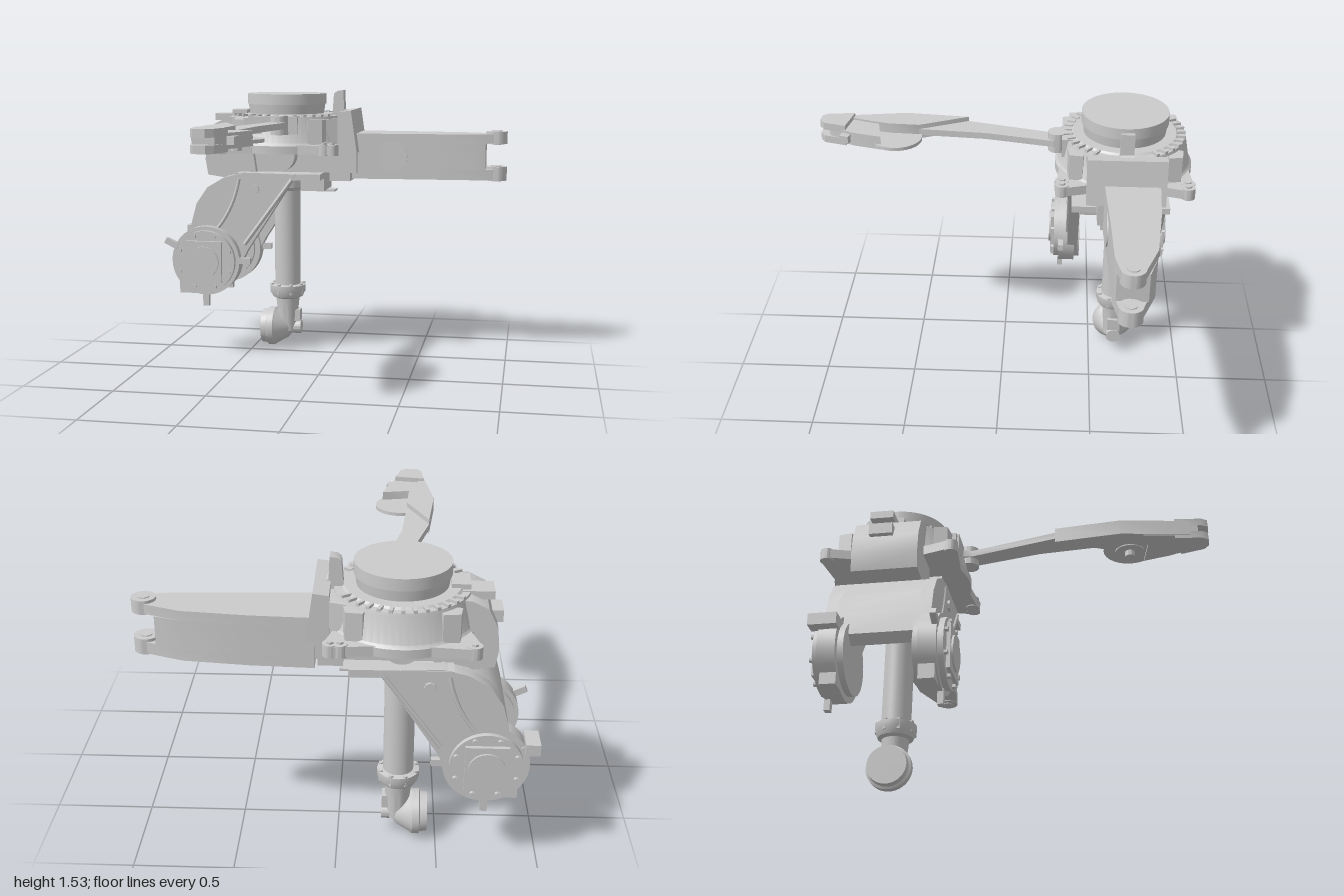
import * as THREE from 'three';
import { toCreasedNormals } from 'three/addons/utils/BufferGeometryUtils.js';

const mat = new THREE.MeshStandardMaterial({ color: 0xcccccc, side: THREE.DoubleSide });
const CX = -0.305, CZ = -0.64; // turret axis

export function createModel() {
  const root = new THREE.Group();
  const add = (name, geo, x = 0, y = 0, z = 0) => {
    const m = new THREE.Mesh(toCreasedNormals(geo, 0.6), mat);
    m.name = name;
    m.position.set(x, y, z);
    root.add(m);
    return m;
  };
  // Box from its two extreme corners
  const box = (name, x0, x1, y0, y1, z0, z1) =>
    add(name, new THREE.BoxGeometry(x1 - x0, y1 - y0, z1 - z0), (x0 + x1) / 2, (y0 + y1) / 2, (z0 + z1) / 2);
  // Cylinders along each axis
  const cylY = (name, x, z, y0, y1, rBottom, rTop = rBottom, n = 40) =>
    add(name, new THREE.CylinderGeometry(rTop, rBottom, y1 - y0, n), x, (y0 + y1) / 2, z);
  const cylZ = (name, x, y, z0, z1, r, n = 40) =>
    add(name, new THREE.CylinderGeometry(r, r, z1 - z0, n).rotateX(Math.PI / 2), x, y, (z0 + z1) / 2);
  const v2 = (pts) => pts.map(([a, b]) => new THREE.Vector2(a, b));
  // Front outline (x, y) extruded in z, and plan outline (x, z) extruded in y
  const extrude = (shape, d) => new THREE.ExtrudeGeometry(shape, { depth: d, bevelEnabled: false, curveSegments: 20 });
  const slabZ = (name, pts, z0, z1) => add(name, extrude(new THREE.Shape(v2(pts)), z1 - z0), 0, 0, z0);
  const slabY = (name, pts, y0, y1) =>
    add(name, extrude(new THREE.Shape(v2(pts.map(([x, z]) => [x, -z]))), y1 - y0).rotateX(-Math.PI / 2), 0, y0, 0);

  // Turret: top disc, neck and flared housing
  cylY('topDisc', CX, CZ, 1.46, 1.52, 0.23, 0.23, 64);
  cylY('discNeck', CX, CZ, 1.39, 1.46, 0.215, 0.225, 64);
  const housing = [[0, 1.19], [0.365, 1.19], [0.365, 1.235], [0.35, 1.25], [0.325, 1.38], [0.32, 1.395], [0.285, 1.395], [0.275, 1.405], [0, 1.405]];
  add('housing', new THREE.LatheGeometry(v2(housing), 64), CX, 0, CZ);
  for (let i = 0; i < 36; i++) {
    const a = (i / 36) * Math.PI * 2;
    if (Math.abs(Math.sin(a)) < 0.45) continue;
    const slot = add('ringTooth', new THREE.BoxGeometry(0.045, 0.016, 0.018), CX + 0.3 * Math.cos(a), 1.4, CZ + 0.3 * Math.sin(a));
    slot.rotation.y = -a;
  }

  // Four mounting ears with bolts
  for (const sx of [-1, 1]) for (const sz of [-1, 1]) {
    const ex = CX + sx * 0.325, ez = CZ + sz * 0.325;
    slabY('mountingEar', [[CX + sx * 0.12, CZ + sz * 0.34], [ex, ez + sz * 0.035], [ex + sx * 0.035, ez], [CX + sx * 0.3, CZ + sz * 0.12], [CX, CZ]], 1.19, 1.24);
    cylY('earPad', ex, ez, 1.185, 1.245, 0.036);
    cylY('earBolt', ex, ez, 1.24, 1.255, 0.018, 0.018, 6);
    if (sx > 0) {
      cylY('earPad', ex - 0.045, ez + sz * 0.002, 1.185, 1.245, 0.036);
      cylY('earBolt', ex - 0.045, ez, 1.24, 1.255, 0.018, 0.018, 6);
    }
    slabY('earGusset', [[CX + sx * 0.18, CZ + sz * 0.3], [CX + sx * 0.26, CZ + sz * 0.29], [CX + sx * 0.27, CZ + sz * 0.22], [CX + sx * 0.15, CZ + sz * 0.2]], 1.2, 1.38);
  }

  // Beam socket, upright horn and underbody
  slabY('socketBody', [[-0.2, -0.9], [0.05, -0.82], [0.11, -0.84], [0.11, -0.45], [0.05, -0.47], [-0.2, -0.38]], 1.19, 1.38);
  slabZ('socketCollar', [[0.03, 1.19], [0.03, 1.42], [0.105, 1.43], [0.14, 1.19]], CZ - 0.205, CZ + 0.2);
  slabZ('horn', [[-0.03, 1.38], [-0.02, 1.52], [0, 1.535], [0.035, 1.54], [0.04, 1.43], [0.07, 1.41], [0.07, 1.38]], CZ - 0.035, CZ + 0.035);
  box('underbody', -0.56, 0.13, 1.07, 1.2, -0.79, -0.5);
  box('basePlate', -0.55, -0.06, 1.035, 1.07, -0.89, -0.37);
  box('socketFoot', -0.03, 0.09, 1.02, 1.07, -0.76, -0.52);
  cylZ('pivotBoss', CX, 1.17, -0.85, -0.41, 0.09);
  box('lowerBracket', -0.2, -0.06, 0.96, 1.04, -0.76, -0.51);
  box('bracketLip', -0.12, -0.01, 0.95, 0.962, -0.68, -0.58);

  // Tapered beam with a forked end
  const beam = (end) => [[0.1, -0.815], [0.4, -0.8], [0.73, -0.765], [end, end > 0.9 ? -0.695 : -0.725], [end, end > 0.9 ? -0.585 : -0.57], [0.8, -0.56], [0.5, -0.55], [0.1, -0.53]];
  slabY('beam', beam(0.86), 1.095, 1.245);
  for (const [y0, y1] of [[1.035, 1.095], [1.245, 1.295]]) {
    slabY('beamFlange', beam(0.92), y0, y1);
    cylY('forkLug', 0.92, CZ, y0 - 0.005, y1 + 0.015, 0.06);
    cylY('forkPin', 0.92, CZ, y0 - 0.01, y1 + 0.02, 0.03);
  }
  const port = new THREE.Shape();
  port.absarc(0.33, 1.165, 0.087, -Math.PI / 2, Math.PI / 2);
  port.absarc(0.32, 1.165, 0.087, Math.PI / 2, Math.PI * 1.5);
  add('beamPort', extrude(port, 0.008), 0, 0, -0.546);

  // Shoulder casing and latch on the right flank
  slabZ('shoulderCasing', [[-0.5, 1.39], [-0.62, 1.385], [-0.7, 1.345], [-0.745, 1.25], [-0.755, 1.14], [-0.74, 1.05], [-0.6, 1.03], [-0.45, 1.05]], -0.8, -0.46);
  box('latchBlock', -0.775, -0.7, 1.24, 1.3, -0.71, -0.59);
  box('latchPlate', -0.73, -0.58, 1.36, 1.4, -0.72, -0.6);
  box('latchArm', -0.62, -0.53, 1.37, 1.425, -0.7, -0.57);

  // Saddle: two cheek plates joined by a curved cover
  const back = [[-0.5, 1.075], [-0.62, 1.045], [-0.72, 0.985], [-0.785, 0.89], [-0.815, 0.78], [-0.83, 0.65]];
  const cheek = [...back, [-0.86, 0.5], [-0.72, 0.4], [-0.56, 0.48], [-0.48, 0.63], [-0.22, 1.03], [-0.2, 1.07]];
  slabZ('cheekFront', cheek, -0.42, -0.36);
  slabZ('cheekBack', cheek, -0.885, -0.815);
  const inner = back.map(([x, y]) => [x + 0.05, y - 0.04]).reverse();
  slabZ('saddleCover', [...back, ...inner], -0.83, -0.4);
  cylZ('crossTube', -0.42, 0.92, -0.83, -0.4, 0.05);
  for (const z of [-0.36, -0.885]) {
    const rib = new THREE.LineCurve3(new THREE.Vector3(-0.22, 1.04, z), new THREE.Vector3(-0.5, 0.66, z));
    add('cheekRib', new THREE.TubeGeometry(rib, 1, 0.012, 8));
    const rib2 = new THREE.QuadraticBezierCurve3(new THREE.Vector3(-0.53, 1.04, z), new THREE.Vector3(-0.56, 0.87, z), new THREE.Vector3(-0.66, 0.75, z));
    add('cheekRib', new THREE.TubeGeometry(rib2, 10, 0.01, 8));
    cylZ('cheekBoss', -0.44, 0.98, z - 0.012, z + 0.012, 0.03, 8);
  }

  // Round drive units, one outside each cheek
  const WX = -0.72, WY = 0.565;
  for (const [s, zIn, r] of [[1, -0.43, 0.2], [-1, -0.76, 0.21]]) {
    const ring = (name, a, b, rad) => cylZ(name, WX, WY, Math.min(zIn + s * a, zIn + s * b), Math.max(zIn + s * a, zIn + s * b), rad, 48);
    ring('driveDrum', 0, 0.15, 0.178);
    ring('driveRim', 0.03, 0.12, r);
    ring('driveHub', 0.15, 0.18, 0.09);
    const p = box('drivePlate', WX - 0.105, WX + 0.105, WY - 0.12, WY + 0.12, -0.01, 0.01);
    p.position.z = zIn + s * 0.16;
    for (let i = 0; i < 8; i++) {
      const a = (i + 0.5) * Math.PI / 4;
      const z = zIn + s * 0.155;
      cylZ('driveBolt', WX + 0.158 * Math.cos(a), WY + 0.158 * Math.sin(a), z - 0.012, z + 0.012, 0.014, 6);
    }
    for (const a of [2.7, 0.02, -Math.PI / 2]) {
      const tab = add('driveTab', new THREE.BoxGeometry(0.08, 0.035, 0.03), WX + 0.225 * Math.cos(a), WY + 0.225 * Math.sin(a), zIn + s * 0.11);
      tab.rotation.z = a;
    }
    const zc = zIn + s * 0.07;
    box('driveFoot', -0.88, -0.78, 0.37, 0.5, zc - 0.04, zc + 0.04);
  }
  box('backDriveLug', -0.97, -0.9, 0.64, 0.7, -0.92, -0.78);

  // Vertical column with a flanged ankle
  const column = [[0, 1.06], [0.09, 1.06], [0.09, 0.97], [0.076, 0.95], [0.076, 0.385], [0.106, 0.38], [0.106, 0.345], [0.09, 0.31], [0.07, 0.3], [0.062, 0.22], [0.055, 0.1], [0, 0.08]];
  add('column', new THREE.LatheGeometry(v2(column.reverse()), 40), CX, 0, CZ);
  for (let i = 0; i < 8; i++) {
    const a = (i + 0.5) * Math.PI / 4;
    cylY('ankleBolt', CX + 0.094 * Math.cos(a), CZ + 0.094 * Math.sin(a), 0.33, 0.39, 0.013, 0.013, 6);
  }

  // Foot: wide pad tapering to a small stub along x
  const foot = [[0, -0.455], [0.1, -0.455], [0.103, -0.42], [0.115, -0.415], [0.115, -0.38], [0.105, -0.37], [0.065, -0.3], [0.04, -0.28], [0.04, -0.222], [0, -0.222]];
  add('foot', new THREE.LatheGeometry(v2(foot), 40).rotateZ(-Math.PI / 2), 0, 0.12, CZ);
  box('ankleLug', -0.29, -0.225, 0.16, 0.23, CZ - 0.035, CZ + 0.035);

  // Slim boom reaching forward from the turret
  slabY('boom', [[-0.34, -0.32], [-0.25, -0.33], [-0.225, -0.27], [-0.305, 0.1], [-0.335, 0.46], [-0.42, 0.4], [-0.45, 0.2], [-0.33, -0.26]], 1.335, 1.37);
  cylY('boomPivot', -0.275, -0.285, 1.3, 1.405, 0.05);
  box('boomBracket', -0.46, -0.18, 1.3, 1.4, -0.38, -0.31);
  box('boomBracketSide', -0.49, -0.4, 1.31, 1.39, -0.41, -0.32);

  // Forearm with a side disc and a notched tip
  slabY('forearm', [[-0.45, 0.2], [-0.335, 0.46], [-0.345, 0.62], [-0.37, 0.72], [-0.43, 0.9], [-0.484, 0.54]], 1.315, 1.395);
  slabY('forearmTip', [[-0.46, 0.66], [-0.36, 0.68], [-0.2, 0.65], [-0.24, 0.8], [-0.31, 0.94], [-0.42, 0.94]], 1.31, 1.385);
  for (const [y0, y1] of [[1.295, 1.335], [1.37, 1.41]])
    slabY('tipJaw', [[-0.435, 0.82], [-0.27, 0.85], [-0.305, 0.97], [-0.34, 0.995], [-0.4, 0.99], [-0.42, 0.96]], y0, y1);
  cylY('sideDisc', -0.3, 0.58, 1.322, 1.34, 0.138, 0.138, 48);
  cylY('discHub', -0.3, 0.58, 1.28, 1.33, 0.027);
  cylY('discRing', -0.3, 0.58, 1.31, 1.325, 0.075);
  const stud = box('tipStud', -0.28, -0.225, 1.33, 1.37, 0.82, 0.87);
  stud.rotation.y = -0.3;
  return root;
}
